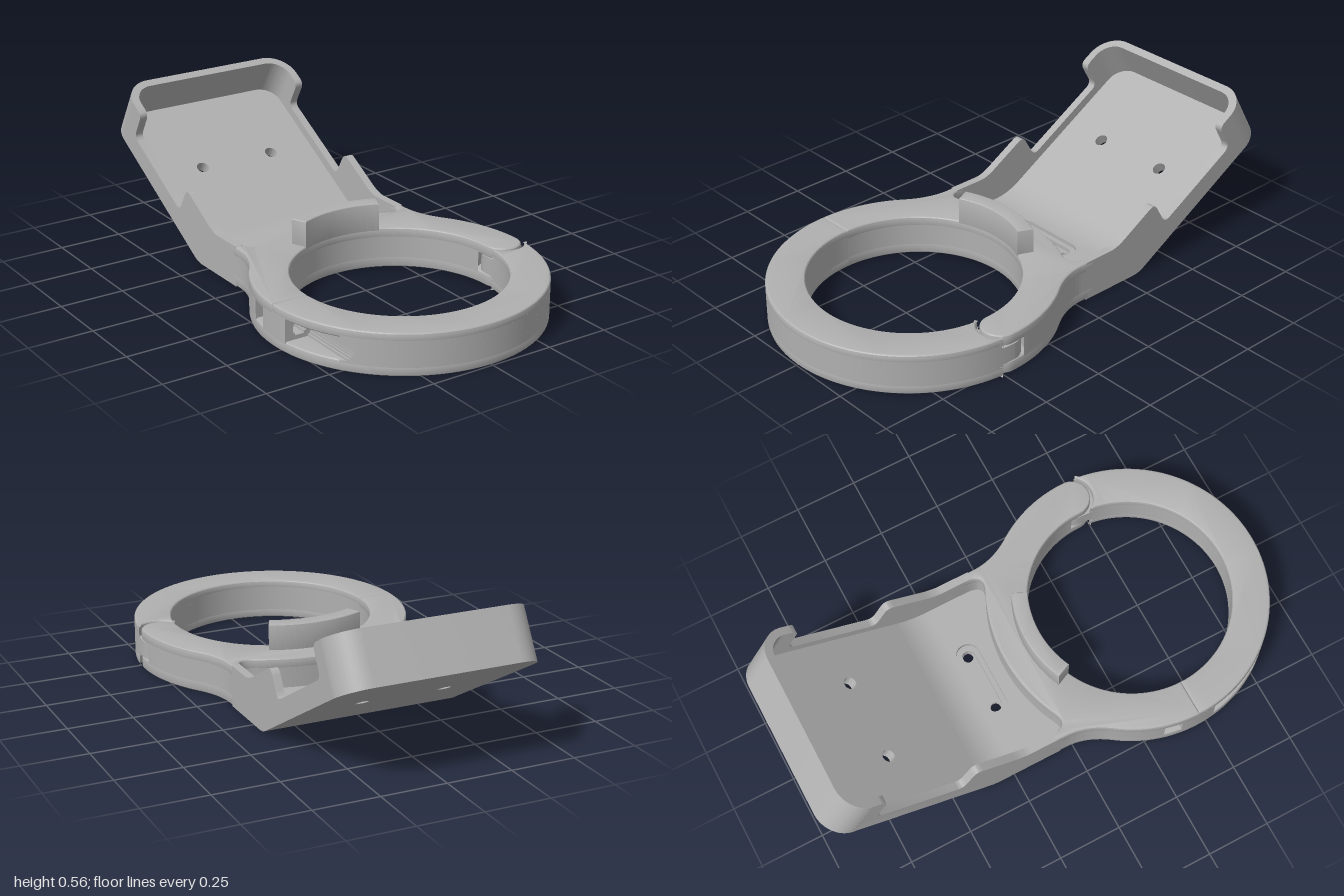
import * as THREE from 'three';
import { toCreasedNormals } from 'three/addons/utils/BufferGeometryUtils.js';

const PI = Math.PI;
const C = 0.457, RI = 0.395, RO = 0.54;           // ring centre z and radii
const H = (RI + RO) / 2, HR = (RO - RI) / 2;      // hinge centre x and knuckle radius
const GAP = 0.085;                                // hinge clearance radius
const T = 0.045;                                  // tray floor thickness
const W = 0.38, WALL = 0.032;                     // tray half width, wall thickness
const B = 0.009;                                  // edge rounding
const plastic = new THREE.MeshStandardMaterial({ color: 0xb0b0b0 });
plastic.name = 'grey plastic';

function mesh(name, geometry) {
  const m = new THREE.Mesh(toCreasedNormals(geometry, 0.5), plastic);
  m.name = name;
  return m;
}

function extrude(shape, depth, bevel = 0, segments = 32) {
  return new THREE.ExtrudeGeometry(shape, {
    depth: depth - 2 * bevel, curveSegments: segments, bevelEnabled: bevel > 0,
    bevelThickness: bevel, bevelSize: bevel, bevelOffset: -bevel, bevelSegments: 3,
  }).translate(0, 0, bevel);
}

// Horizontal slab from a plan drawn in (x, z)
const slab = (name, shape, y0, y1, bevel = 0) =>
  mesh(name, extrude(shape, y1 - y0, bevel).rotateX(PI / 2).translate(0, y1, 0));

// Profile drawn in (z, y), extruded across x
const across = (name, shape, x0, x1) =>
  mesh(name, extrude(shape, x1 - x0, 0, 8).rotateY(-PI / 2).translate(x1, 0, 0));

// Point on the inclined tray: u along the slope, n away from its underside
const P = (u, n) => [-0.33 - 0.866 * u + 0.5 * n, 0.5 * u + 0.866 * n];

function circleHole(x, y, r) {
  return new THREE.Path().absarc(x, y, r, 0, 2 * PI, true);
}

function stadium(halfLength, r, z) {
  const p = new THREE.Path();
  p.absarc(halfLength - r, z, r, -PI / 2, PI / 2, false);
  p.absarc(r - halfLength, z, r, PI / 2, 1.5 * PI, false);
  p.closePath();
  return p;
}

// Plan of the fixed rear half; the middle layer has a hinge slot and a nut pocket
function rearPlan(middle) {
  const s = new THREE.Shape();
  s.absarc(0, C, RI, middle ? -0.104 : 0, -PI, true);
  s.lineTo(-RO, C);
  if (middle) {
    s.absarc(0, C, RO, PI, PI + 0.1244, false);
    s.lineTo(-0.43, 0.39);
    s.lineTo(-0.43, 0.32);
  }
  s.absarc(0, C, RO, middle ? PI + 0.2565 : PI, PI + 0.618, false);
  s.quadraticCurveTo(-W, 0.06, -W, -0.03);
  s.lineTo(-W, -0.08);
  s.lineTo(WALL - W, -0.08);
  s.bezierCurveTo(WALL - W, 0, -0.31, -0.01, -0.27, -0.03);
  s.absarc(0, 0.55, 0.64, -PI / 2 - 0.4356, -PI / 2 + 0.4356, false);
  s.bezierCurveTo(0.31, -0.01, W - WALL, 0, W - WALL, -0.08);
  s.lineTo(W, -0.08);
  s.lineTo(W, -0.03);
  s.quadraticCurveTo(W, 0.06, 0.44, 0.144);
  s.absarc(0, C, RO, -0.618, middle ? -0.089 : 0, false);
  if (middle) s.absarc(H, C, GAP, -0.595, -2.642, true);
  else s.absarc(H, C, HR, 0, PI, false);
  return s;
}

// Plan of the swinging front half; dy is the height from the screw axis
function frontPlan(tongue, dy) {
  const s = new THREE.Shape();
  if (tongue) s.absarc(H, C, HR, 0, -PI, true);
  else s.absarc(H, C, GAP, 0.595, 2.642, false);
  s.absarc(0, C, RI, tongue ? 0 : 0.104, PI, false);
  s.lineTo(-RO, C);
  let from = PI;
  if (dy !== undefined) {
    const xe = -0.475 + Math.sqrt(0.0025 - dy * dy);
    s.absarc(0, C, RO, PI, PI - 0.1356, true);
    if (Math.abs(dy) < 0.028) {
      const h = Math.sqrt(0.028 ** 2 - dy * dy);
      for (const [x, z] of [[-h, 0.53], [-h, 0.46], [h, 0.46], [h, 0.53]]) s.lineTo(-0.475 + x, z);
    }
    s.lineTo(xe, 0.53);
    from = Math.acos(xe / RO);
  }
  s.absarc(0, C, RO, from, tongue ? 0 : 0.089, true);
  return s;
}

// Side wall profile in (z, y)
function wallProfile() {
  const s = new THREE.Shape();
  const line = (u, n) => s.lineTo(...P(u, n));
  const round = (u, n, u2, n2) => s.quadraticCurveTo(...P(u, n), ...P(u2, n2));
  s.moveTo(-0.05, 0);
  s.lineTo(-0.05, 0.16);
  s.lineTo(-0.175, 0.16);
  s.quadraticCurveTo(-0.207, 0.16, ...P(0.02, 0.2));
  line(0.17, 0.2);
  round(0.2, 0.2, 0.2, 0.17);
  line(0.2, 0.11);
  round(0.2, 0.08, 0.23, 0.08);
  line(0.57, 0.08);
  round(0.6, 0.08, 0.6, 0.11);
  line(0.6, 0.17);
  round(0.6, 0.2, 0.63, 0.2);
  line(0.67, 0.2);
  line(0.67, 0);
  line(0.03, 0);
  s.quadraticCurveTo(-0.33, 0, -0.3, 0);
  return s;
}

// Far end of the tray in (x, u): a plate or a U-shaped rim
function endPlan(u0, rim) {
  const s = new THREE.Shape(), end = 0.774, r = 0.11;
  s.moveTo(-W, u0);
  if (rim) {
    const w = W - WALL, q = r - WALL, e = end - WALL;
    s.lineTo(-w, u0);
    s.absarc(q - w, e - q, q, PI, PI / 2, true);
    s.absarc(w - q, e - q, q, PI / 2, 0, true);
    s.lineTo(w, u0);
  }
  s.lineTo(W, u0);
  s.absarc(W - r, end - r, r, 0, PI / 2, false);
  s.absarc(r - W, end - r, r, PI / 2, PI, false);
  return s;
}

// Flat recess floor in (x, z)
function floorPlan(holes) {
  const s = new THREE.Shape(), w = 0.37;
  s.moveTo(-w, -0.25);
  s.lineTo(w, -0.25);
  s.lineTo(w, 0.01);
  s.lineTo(-w, 0.01);
  s.holes.push(...holes);
  return s;
}

export function createModel() {
  const model = new THREE.Group();
  model.name = 'hingedRingMount';

  // Rear half of the ring with the neck
  model.add(
    slab('rearRingBottom', rearPlan(false), 0, 0.04 + B, B),
    slab('rearRingMiddle', rearPlan(true), 0.04, 0.125),
    slab('rearRingTop', rearPlan(false), 0.125 - B, 0.16, B),
  );

  // Front half of the ring with hinge tongue and round screw counterbore
  const y0 = 0.033, y1 = 0.133, n = 12, step = (y1 - y0) / n;
  model.add(slab('frontRingBottom', frontPlan(false), 0, y0 + B, B));
  for (let i = 0; i < n; i++) {
    const y = y0 + i * step, dy = y + step / 2 - 0.083;
    model.add(slab('frontRingLayer', frontPlan(Math.abs(dy) < 0.035, dy), y, y + step));
  }
  model.add(slab('frontRingTop', frontPlan(false), y1 - B, 0.16, B));

  // Curved tab standing on the ring
  const tab = new THREE.Shape(), a = 0.43;
  tab.absarc(0, C, RI, -PI / 2 - a, -PI / 2 + a, false);
  tab.absarc(0, C, 0.457, -PI / 2 + a, -PI / 2 - a, true);
  model.add(slab('curvedTab', tab, 0.14, 0.26, 0.006));

  // Recess floor with stepped slot and two small holes
  const small = [-0.115, 0.115].map((x) => circleHole(x, -0.19, 0.02));
  model.add(
    slab('recessFloorBottom', floorPlan(small), 0, 0.015),
    slab('recessFloorMiddle', floorPlan([stadium(0.135, 0.028, -0.19)]), 0.015, 0.03),
    slab('recessFloorTop', floorPlan([stadium(0.16, 0.047, -0.19)]), 0.03, T),
  );

  // Curved bend between the flat floor and the slope
  const bend = new THREE.Shape();
  bend.moveTo(-0.25, 0);
  bend.lineTo(-0.3, 0);
  bend.quadraticCurveTo(-0.33, 0, ...P(0.03, 0));
  bend.lineTo(...P(0.08, 0));
  bend.lineTo(...P(0.08, T));
  bend.quadraticCurveTo(-0.318, T, -0.25, T);
  model.add(across('floorBend', bend, -0.37, 0.37));

  // Stepped side walls
  model.add(
    across('leftWall', wallProfile(), W - WALL, W),
    across('rightWall', wallProfile(), -W, WALL - W),
  );

  // Inclined tray floor and end cup
  const slope = new THREE.Group();
  slope.name = 'inclinedTray';
  slope.rotation.x = -PI / 3;
  slope.position.z = -0.33;
  const plate = endPlan(0.08, false);
  plate.holes.push(circleHole(-0.16, 0.404, 0.025), circleHole(0.16, 0.404, 0.025));
  slope.add(
    mesh('trayFloor', extrude(plate, T)),
    mesh('endCup', extrude(endPlan(0.66, true), 0.2)),
  );
  model.add(slope);
  return model;
}
